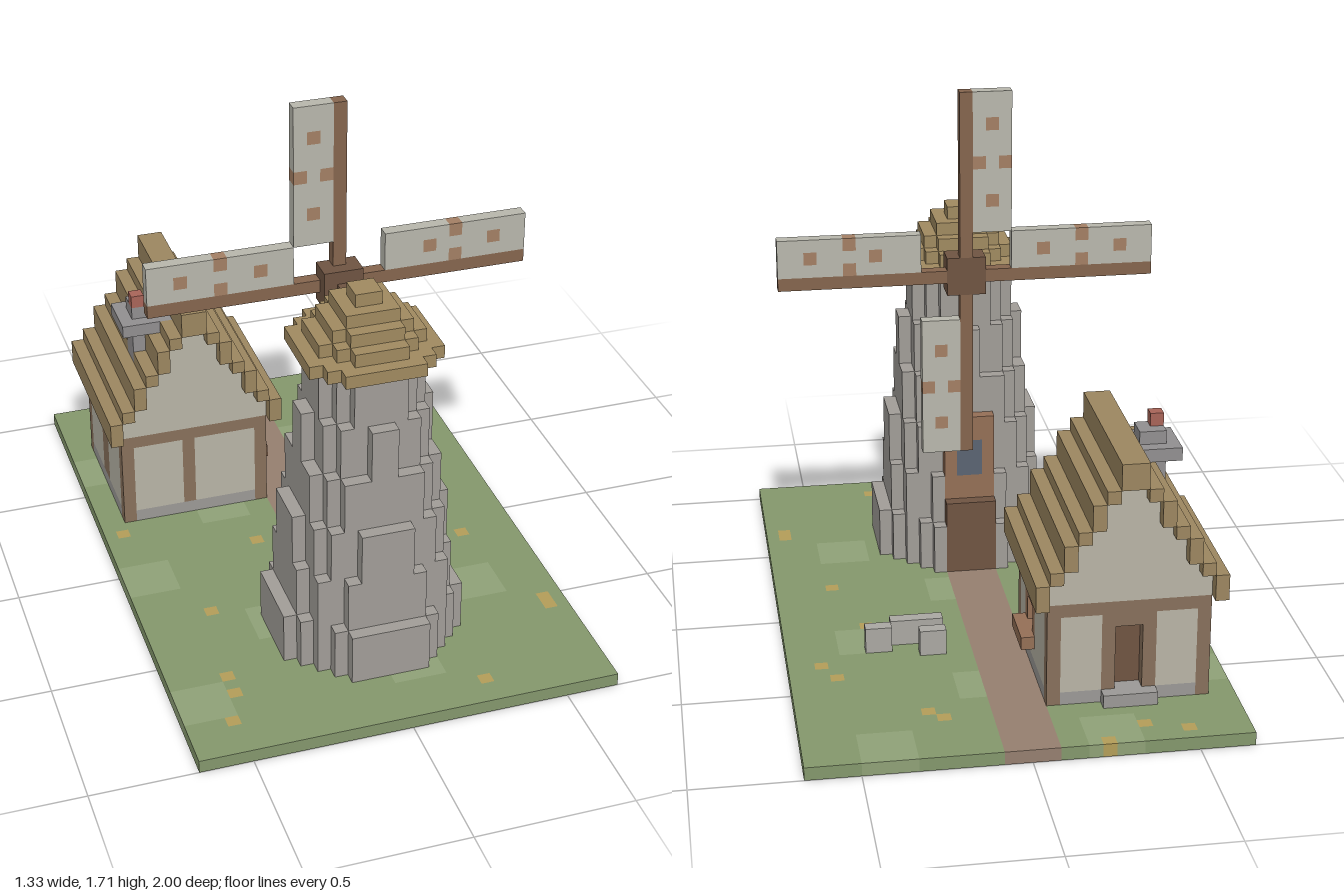
import * as THREE from 'three';

const V = 1 / 24; // edge of one block

export function createModel() {
  const cells = new Map(); // "x,y,z" -> part name
  const key = (x, y, z) => `${x},${y},${z}`;

  // part name -> colour and the group it belongs to
  const parts = {
    grass: [0x84976c, 'ground'], lightGrass: [0x8fa177, 'ground'],
    path: [0x957f6f, 'ground'], flowers: [0xb39d58, 'ground'],
    looseStones: [0xaaa8a2, 'ground'],
    towerWall: [0xa19d98, 'tower'], towerRoof: [0xa08a60, 'tower'],
    towerDoor: [0x6f5442, 'tower'], towerWindowFrame: [0x946f56, 'tower'],
    towerWindow: [0x5a6472, 'tower'],
    sailHub: [0x6f5442, 'sails'], sailSpars: [0x85654e, 'sails'],
    sailCloth: [0xb8b7ac, 'sails'], sailPatches: [0xa37f64, 'sails'],
    houseFooting: [0x9b9996, 'house'], housePlaster: [0xb8b4a6, 'house'],
    houseTimber: [0x87705b, 'house'], houseRoof: [0x9c8660, 'house'],
    houseDoor: [0x6f5442, 'house'], windowFrame: [0x946f56, 'house'],
    windowGlass: [0x5a6472, 'house'], chimney: [0x918f90, 'house'],
    chimneyPot: [0xa86458, 'house'],
  };

  // Fill a block range [x0,x1) [y0,y1) [z0,z1); a null part carves it away
  function fill(part, x0, x1, y0, y1, z0, z1) {
    for (let x = x0; x < x1; x++) for (let y = y0; y < y1; y++) for (let z = z0; z < z1; z++) {
      if (part) cells.set(key(x, y, z), part);
      else cells.delete(key(x, y, z));
    }
  }
  // Round layer centred on the tower axis
  function disc(part, r, y0, y1) {
    for (let x = -8; x < 8; x++) for (let z = -8; z < 8; z++) {
      if ((x + 0.5) ** 2 + (z + 0.5) ** 2 <= r * r) fill(part, x, x + 1, y0, y1, z + 12, z + 13);
    }
  }

  // Ground with lighter tufts, path and flowers
  fill('grass', -16, 16, 0, 1, -24, 24);
  for (let i = -4; i < 4; i++) for (let j = -6; j < 6; j++) {
    if ((i * 7 + j * 5 + i * j * 3 + 60) % 4 === 0) fill('lightGrass', i * 4, i * 4 + 4, 0, 1, j * 4, j * 4 + 4);
  }
  fill('path', -2, 2, 0, 1, -24, 6);
  const flowers = [[-12, -23], [-6, -24], [5, -19], [6, -18], [12, -12], [13, -10], [9, -4],
    [11, 3], [14, 13], [14, 14], [6, 21], [-13, 20], [-12, 15], [-12, 17], [-11, 7], [-5, -1],
    [-15, -5], [-9, -22]];
  for (const [x, z] of flowers) fill('flowers', x, x + 1, 0, 1, z, z + 1);

  // Loose stones beside the path
  fill('looseStones', 4, 8, 1, 3, -7, -6);
  fill('looseStones', 8, 10, 1, 3, -8, -7);
  fill('looseStones', 4, 6, 1, 3, -9, -8);

  // Tower: six shrinking tiers and a stepped cap
  for (let i = 0; i < 6; i++) disc('towerWall', 7 - 0.6 * i, 1 + 4 * i, 5 + 4 * i);
  for (let i = 0; i < 5; i++) disc('towerRoof', 5.2 - i, 25 + i, 26 + i);
  fill('towerDoor', -2, 2, 1, 7, 5, 7);
  fill('towerWindowFrame', -2, 2, 7, 14, 6, 8);
  fill('towerWindow', -1, 1, 9, 12, 6, 7);

  // Sails: spars, cloth beside each spar, and patches
  fill('sailSpars', 0, 1, 12, 41, 4, 5);
  fill('sailSpars', -14, 15, 26, 27, 4, 5);
  fill('sailCloth', -3, 0, 30, 41, 4, 5);
  fill('sailCloth', 1, 4, 12, 23, 4, 5);
  fill('sailCloth', -14, -3, 27, 30, 4, 5);
  fill('sailCloth', 4, 15, 27, 30, 4, 5);
  const patch = (x, y) => fill('sailPatches', x, x + 1, y, y + 1, 4, 5);
  for (const [a, b] of [[38, -2], [35, -3], [35, -1], [32, -2]]) {
    patch(b, a);
    patch(-b, 52 - a);
  }
  for (const [x, y] of [[-12, 28], [-9, 29], [-9, 27], [-6, 28]]) {
    patch(x, y);
    patch(-x, y);
  }
  for (const x of [7, 9, 12]) patch(x, x === 9 ? 29 : 28);
  fill('sailCloth', 6, 7, 28, 29, 4, 5);
  fill('sailCloth', 8, 9, 27, 30, 4, 5);
  patch(9, 27);
  fill('sailHub', -1, 2, 25, 28, 4, 6);
  fill('sailHub', 0, 1, 26, 27, 6, 10);

  // House walls on a footing, timber posts and beams
  fill('housePlaster', -14, -2, 1, 9, -18, -6);
  fill('houseFooting', -14, -2, 1, 2, -18, -6);
  fill('houseTimber', -14, -2, 8, 9, -18, -6);
  for (const x of [-14, -3]) for (const z of [-18, -7]) fill('houseTimber', x, x + 1, 1, 9, z, z + 1);
  fill('houseTimber', -9, -8, 2, 9, -7, -6);
  fill('houseTimber', -14, -13, 2, 9, -13, -11);
  fill('houseTimber', -3, -2, 7, 8, -11, -10);

  // Back door with step
  fill('houseTimber', -10, -6, 2, 8, -18, -17);
  fill(null, -9, -7, 2, 7, -18, -17);
  fill('houseDoor', -9, -7, 2, 7, -17, -16);
  fill('houseFooting', -10, -6, 1, 2, -19, -18);

  // Side window with projecting sill
  fill('windowFrame', -3, -2, 3, 7, -13, -9);
  fill(null, -3, -2, 4, 6, -12, -10);
  fill('windowGlass', -4, -3, 4, 6, -12, -10);
  fill('windowFrame', -2, -1, 3, 4, -13, -9);

  // Gables and stepped roof, one column at a time from ridge to eaves
  const tops = [20, 18, 17, 15, 14, 12, 11, 9];
  for (let d = 0; d < 7; d++) {
    const low = d === 0 ? 18 : tops[d + 1];
    for (const x of [-9 - d, -8 + d]) {
      if (d < 6) fill('housePlaster', x, x + 1, 9, low, -18, -6);
      fill('houseRoof', x, x + 1, low, tops[d], -19, -5);
    }
  }
  // Ridge is two blocks wide and its second layer stays at the crown
  fill('houseRoof', -9, -7, 18, 20, -19, -5);

  // Chimney: stack, wide collar, top and pot
  fill('chimney', -12, -10, 12, 17, -11, -9);
  fill('chimney', -13, -9, 17, 18, -12, -8);
  fill('chimney', -12, -10, 18, 19, -11, -9);
  fill('chimneyPot', -12, -11, 19, 20, -10, -9);

  // Collect the exposed block faces of every part (the underside stays open)
  const positions = {};
  for (const [k, part] of cells) {
    const c = k.split(',').map(Number);
    const out = (positions[part] ??= []);
    for (let a = 0; a < 3; a++) for (const s of [1, -1]) {
      const n = [...c];
      n[a] += s;
      if (n[1] < 0 || cells.has(key(...n))) continue;
      const corner = (i, j) => {
        const p = [...c];
        p[a] += s > 0 ? 1 : 0;
        p[(a + 1) % 3] += i;
        p[(a + 2) % 3] += j;
        return p.map((q) => q * V);
      };
      const q = [corner(0, 0), corner(1, 0), corner(1, 1), corner(0, 1)];
      if (s < 0) q.reverse();
      for (const i of [0, 1, 2, 0, 2, 3]) out.push(...q[i]);
    }
  }

  // One mesh per part, sorted into groups
  const model = new THREE.Group();
  model.name = 'windmillFarm';
  const groups = {};
  for (const [name, [color, groupName]] of Object.entries(parts)) {
    if (!positions[name]) continue;
    if (!groups[groupName]) {
      groups[groupName] = new THREE.Group();
      groups[groupName].name = groupName;
      model.add(groups[groupName]);
    }
    const geometry = new THREE.BufferGeometry();
    geometry.setAttribute('position', new THREE.Float32BufferAttribute(positions[name], 3));
    geometry.computeVertexNormals();
    const material = new THREE.MeshStandardMaterial({ color, side: THREE.DoubleSide });
    const mesh = new THREE.Mesh(geometry, material);
    mesh.name = name;
    groups[groupName].add(mesh);
  }
  return model;
}
